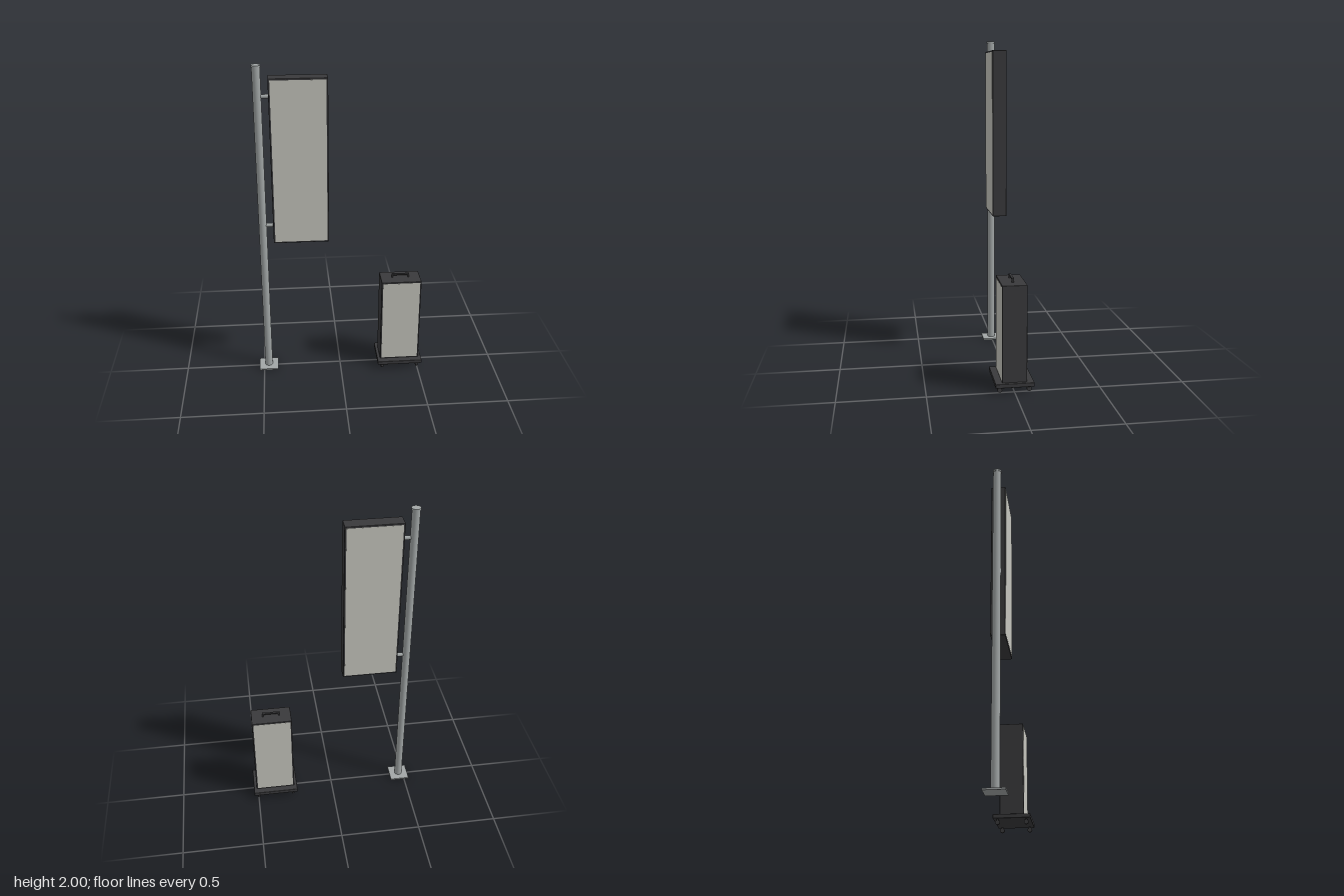
import * as THREE from 'three';
import { RoundedBoxGeometry } from 'three/addons/geometries/RoundedBoxGeometry.js';

const material = (name, color) => {
  const m = new THREE.MeshStandardMaterial({ color });
  m.name = name;
  return m;
};

export function createModel() {
  const metal = material('galvanised metal', 0xa2a7a7);
  const dark = material('dark frame', 0x3a3a3c);
  const light = material('light panel', 0xc6c6be);

  const add = (parent, name, geometry, mat, x, y, z) => {
    const mesh = new THREE.Mesh(geometry, mat);
    mesh.name = name;
    mesh.position.set(x, y, z);
    parent.add(mesh);
    return mesh;
  };
  const group = (parent, name) => {
    const g = new THREE.Group();
    g.name = name;
    parent.add(g);
    return g;
  };

  // Dark case with a pale panel on the front and the back
  const lightBox = (parent, x, y, w, h, d, border) => {
    const g = group(parent, 'lightBox');
    add(g, 'case', new RoundedBoxGeometry(w, h, d, 2, 0.004), dark, x, y, 0);
    for (const side of [1, -1]) {
      add(g, side > 0 ? 'frontPanel' : 'backPanel',
        new THREE.BoxGeometry(w - 2 * border, h - 2 * border, 0.004), light, x, y, side * (d / 2 - 0.001));
    }
  };

  const model = new THREE.Group();
  model.name = 'signs';

  // Tall sign hanging from a post
  const poleSign = group(model, 'poleSign');
  const px = -0.47;
  add(poleSign, 'basePlate', new THREE.BoxGeometry(0.122, 0.01, 0.122), metal, px, 0.005, 0);
  add(poleSign, 'pole', new THREE.CylinderGeometry(0.024, 0.024, 1.98, 32), metal, px, 1, 0);
  add(poleSign, 'poleCap', new THREE.CylinderGeometry(0.027, 0.027, 0.012, 32), metal, px, 1.994, 0);
  for (const y of [1.02, 1.82]) {
    const arm = add(poleSign, 'bracket', new THREE.CylinderGeometry(0.012, 0.012, 0.065, 20), metal, -0.43, y, 0);
    arm.rotation.z = Math.PI / 2;
  }
  lightBox(poleSign, -0.238, 1.423, 0.337, 1.016, 0.086, 0.01);

  // Short sign on a wheeled base
  const cart = group(model, 'rollingSign');
  const cx = 0.384;
  lightBox(cart, cx, 0.341, 0.252, 0.568, 0.144, 0.009);
  add(cart, 'base', new RoundedBoxGeometry(0.288, 0.025, 0.224, 2, 0.004), dark, cx, 0.0475, 0);

  // Casters
  for (const sx of [-1, 1]) {
    for (const sz of [-1, 1]) {
      const x = cx + sx * 0.114, z = sz * 0.085;
      const wheel = add(cart, 'wheel', new THREE.CylinderGeometry(0.014, 0.014, 0.015, 20), dark, x, 0.016, z);
      wheel.rotation.z = Math.PI / 2;
      add(cart, 'wheelMount', new THREE.BoxGeometry(0.012, 0.02, 0.01), dark, x, 0.03, z);
    }
  }

  // Carrying handle
  const handle = group(cart, 'handle');
  add(handle, 'grip', new RoundedBoxGeometry(0.112, 0.01, 0.015, 2, 0.003), dark, cx, 0.645, 0);
  for (const s of [-1, 1]) {
    add(handle, 'handleLeg', new THREE.BoxGeometry(0.009, 0.024, 0.014), dark, cx + s * 0.051, 0.632, 0);
  }
  return model;
}
